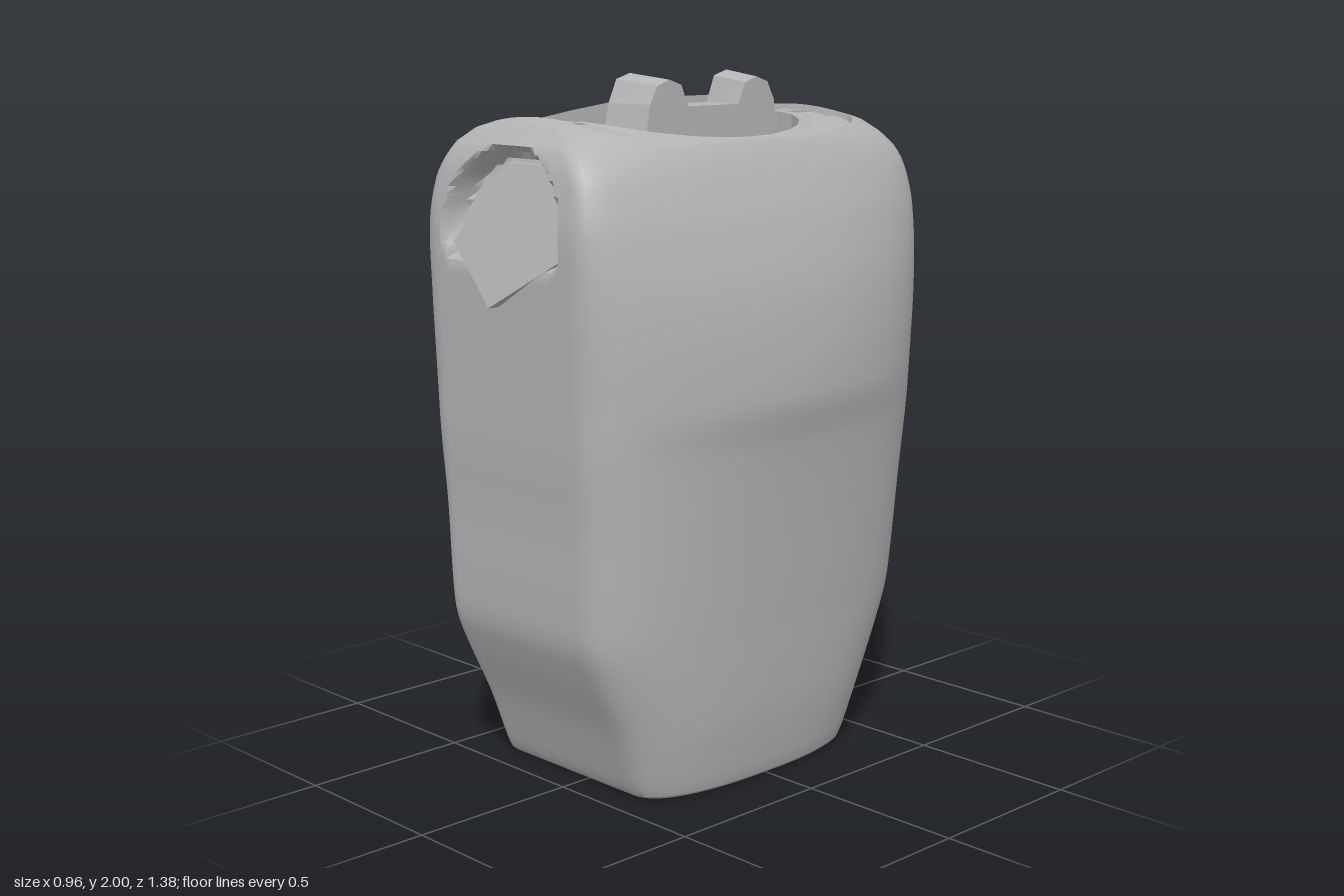
import * as THREE from 'three';
import { toCreasedNormals } from 'three/addons/utils/BufferGeometryUtils.js';

const CX = -0.06;
const NP = 30, NS = 26; // points across an end panel and around a side

// height, left x, right x, panel left x, panel right x, half depth, roundness of the right side
const SECTIONS = [
  [0.01, -0.38, 0.33, -0.325, 0.19, 0.41, 0.8],
  [0.04, -0.39, 0.34, -0.325, 0.19, 0.425, 0.8],
  [0.20, -0.405, 0.37, -0.325, 0.20, 0.485, 0.82],
  [0.36, -0.42, 0.388, -0.325, 0.20, 0.56, 0.85],
  [0.46, -0.43, 0.397, -0.325, 0.20, 0.60, 0.87],
  [0.56, -0.435, 0.407, -0.325, 0.205, 0.613, 0.88],
  [0.80, -0.45, 0.43, -0.32, 0.22, 0.625, 0.9],
  [1.00, -0.465, 0.453, -0.32, 0.235, 0.64, 0.95],
  [1.14, -0.475, 0.478, -0.32, 0.24, 0.645, 1],
  [1.40, -0.485, 0.455, -0.32, 0.25, 0.655, 0.95],
  [1.60, -0.475, 0.40, -0.32, 0.25, 0.66, 0.9],
  [1.72, -0.45, 0.35, -0.31, 0.235, 0.645, 0.87],
  [1.78, -0.43, 0.32, -0.28, 0.20, 0.63, 0.85],
  [1.82, -0.42, 0.295, -0.25, 0.15, 0.61, 0.85],
];
const RIM = [0, -0.41, 0.28, -0.2, 0.12, 0.505, 0.77];

const crown = (x) => 1.83 + 0.06 * (1 - Math.min(1, ((x + 0.065) / 0.345) ** 2));
const discPlane = (y) => 0.69 - 0.32 * (y - 1.39);

// Smooth (Hermite) section at any height
function sectionAt(y) {
  const last = SECTIONS.length - 1;
  let k = 0;
  while (k < last - 1 && SECTIONS[k + 1][0] < y) k++;
  const a = SECTIONS[k], b = SECTIONS[k + 1], h = b[0] - a[0], t = (y - a[0]) / h;
  const slope = (j, i) => {
    const p = SECTIONS[Math.max(0, j - 1)], q = SECTIONS[Math.min(last, j + 1)];
    return (q[i] - p[i]) / (q[0] - p[0]);
  };
  const s = t * t * (3 - 2 * t);
  return a.map((v, i) => v + (b[i] - v) * s
    + h * (slope(k, i) * t * (1 - t) ** 2 - slope(k + 1, i) * t * t * (1 - t)));
}

// Closed outline: flat front, curved right, flat back, curved left
function outline([, xl, xr, pl, pr, zf, round], scale = 1) {
  const pts = [];
  const side = (edge, bulge, dir, power) => {
    for (let i = 0; i < NS; i++) {
      const a = dir * (Math.PI / 2 - (Math.PI * i) / NS);
      const c = Math.abs(Math.cos(a)) ** power, s = Math.sign(Math.sin(a)) * Math.abs(Math.sin(a)) ** power;
      pts.push([edge + (bulge - edge) * c, zf * s]);
    }
  };
  for (let i = 0; i < NP; i++) pts.push([pl + ((pr - pl) * i) / NP, zf]);
  side(pr, xr, 1, round);
  for (let i = 0; i < NP; i++) pts.push([pr + ((pl - pr) * i) / NP, -zf]);
  side(pl, xl, -1, Math.min(round, 0.83));
  return pts.map(([x, z]) => [CX + (x - CX) * scale, z * scale]);
}

const inSocket = (x, y) => x > -0.09 && x < 0.12 && [0.73, 1.09].some((c) => Math.abs(y - c) < 0.105);
const recessDepth = (y) => 0.042 - 0.025 * (y - 0.52);

// Sloping-walled pockets behind the end discs, and the recessed back panel with two sockets
function carve(x, y, z, zf) {
  const r = Math.hypot(x + 0.05, y - 1.57);
  const limit = discPlane(y) - 0.02 + Math.max(0, r - 0.225) * 3 + Math.max(0, 1.52 - y);
  z = Math.max(-limit, Math.min(limit, z));
  if (z < 0 && y > 0.525 && y < 1.295 && x > -0.28) {
    z = Math.max(z, -(zf - recessDepth(y)));
    if (inSocket(x, y)) z += 0.09;
  }
  return z;
}

function bodyGeometry() {
  const base = SECTIONS[0], rows = [];
  const flatRow = (scale, y) => rows.push(outline(base, scale).map(([x, z]) => [x, y, z]));
  flatRow(0.001, 0.14);
  flatRow(0.86, 0.14);
  flatRow(0.9, 0.02);
  flatRow(0.97, 0);
  for (let i = 0; i <= 91; i++) {
    const y = 0.01 + (1.81 * i) / 91, s = sectionAt(y);
    rows.push(outline(s).map(([x, z]) => [x, y, carve(x, y, z, s[5])]));
  }
  const mid = RIM.map((v, i) => (v + SECTIONS.at(-1)[i]) / 2);
  rows.push(outline(mid).map(([x, z]) => [x, Math.max(1.828, crown(x) - 0.012), z]));
  rows.push(outline(RIM).map(([x, z]) => [x, crown(x), z]));
  rows.push(outline(RIM, 0.98).map(([x, z]) => [x, crown(x) - 0.05, z]));

  const n = rows[0].length, index = [];
  for (let j = 0; j < rows.length - 1; j++)
    for (let i = 0; i < n; i++) {
      const a = j * n + i, b = j * n + ((i + 1) % n);
      index.push(a, b, b + n, a, b + n, a + n);
    }
  const g = new THREE.BufferGeometry();
  g.setAttribute('position', new THREE.Float32BufferAttribute(rows.flat(2), 3));
  g.setIndex(index);
  return toCreasedNormals(g, 0.5);
}

const path = (pts, Type = THREE.Shape) => new Type(pts.map(([x, y]) => new THREE.Vector2(x, y)));

function moveVertices(g, rule) {
  const p = g.attributes.position;
  for (let i = 0; i < p.count; i++) p.setXYZ(i, ...rule(p.getX(i), p.getY(i), p.getZ(i)));
  g.computeVertexNormals();
  return g;
}

// Slab drawn in plan (x, z) whose top follows a height rule
function slab(pts, holes, depth, top) {
  const flip = (list) => list.map(([x, z]) => [x, -z]);
  const shape = path(flip(pts));
  shape.holes = holes.map((h) => path(flip(h), THREE.Path));
  const g = new THREE.ExtrudeGeometry(shape, { depth, bevelEnabled: false });
  g.rotateX(-Math.PI / 2);
  return moveVertices(g, (x, y, z) => [x, y - depth + top(x, z), z]);
}

export function createModel() {
  const model = new THREE.Group();
  const grey = new THREE.MeshStandardMaterial({ color: 0xb4b4b4 });
  grey.name = 'grey';
  const add = (name, geometry, x = 0, y = 0, z = 0) => {
    const m = new THREE.Mesh(geometry, grey);
    m.name = name;
    m.position.set(x, y, z);
    model.add(m);
    return m;
  };

  add('body', bodyGeometry());

  // Top deck with a half-oval well and small slots at both ends
  const well = [];
  for (let i = 0; i <= 12; i++) {
    const a = -Math.PI / 2 + (Math.PI * i) / 12;
    well.push([-0.04 + 0.28 * Math.cos(a) ** 0.8, 0.38 * Math.sin(a)]);
  }
  const slots = [1, -1].flatMap((s) => [
    [[-0.1, 0.47 * s], [-0.07, 0.41 * s], [-0.07, 0.47 * s]],
    [[0, 0.41 * s], [0.035, 0.41 * s], [0.04, 0.47 * s], [0, 0.47 * s]],
  ]);
  add('topDeck', slab(outline(RIM, 0.985), [well, ...slots], 0.06, (x) => crown(x) - 0.014));
  add('wellFloor', slab(outline(RIM, 0.96), [], 0.01, () => 1.785));

  // Sloping lid beside the handle, humped along its inner edge
  const lid = [[-0.35, 0.4], [-0.04, 0.4], [-0.04, 0.2], [-0.04, -0.2], [-0.05, -0.3], [-0.12, -0.42], [-0.35, -0.41]];
  add('slopingLid', slab(lid, [], 0.1, (x, z) =>
    1.845 + ((x + 0.35) / 0.31) * (0.085 - 0.12 * Math.max(0, Math.abs(z) - 0.2))));

  // Handle: two raised posts joined by a low bar, narrowing on the outer side
  const half = [[0.11, 1.91], [0.14, 1.985], [0.19, 2.0], [0.24, 1.985], [0.27, 1.92], [0.3, 1.78]];
  const profile = [...half.map(([z, y]) => [-z, y]).reverse(), ...half];
  const handle = new THREE.ExtrudeGeometry(path(profile), { depth: 0.14, bevelEnabled: false });
  handle.rotateY(Math.PI / 2);
  add('handle', moveVertices(handle, (x, y, z) =>
    [x - 0.04, x > 0.07 && y > 1.95 ? y - 0.015 : y, z * (x > 0.07 ? 0.9 : 1)]));

  // Tilted many-sided discs, front and back
  const disc = (name, pts, sign) => {
    const g = new THREE.ExtrudeGeometry(path(pts), { depth: 0.06, bevelEnabled: false });
    add(name, moveVertices(g, (x, y, z) => [x, y, sign > 0 ? z - 0.06 + discPlane(y) : z - discPlane(y)]));
  };
  disc('frontDisc', [[-0.06, 1.39], [0.18, 1.53], [0.16, 1.63], [0.07, 1.77], [-0.12, 1.77], [-0.27, 1.55]], 1);
  disc('backDisc', [[-0.16, 1.4], [0.05, 1.4], [0.19, 1.55], [0.1, 1.77], [-0.2, 1.77], [-0.28, 1.57]], -1);

  // Socket frames, round button and row of studs on the back panel
  const rect = (w, h, c) => [[-w + c, -h], [w - c, -h], [w, -h + c], [w, h - c], [w - c, h], [-w + c, h], [-w, h - c], [-w, -h + c]];
  const frame = path(rect(0.125, 0.125, 0.03));
  frame.holes = [path(rect(0.09, 0.09, 0.02), THREE.Path)];
  const frameGeometry = new THREE.ExtrudeGeometry(frame, { depth: 0.05, bevelEnabled: false });
  const panelZ = (y) => -(sectionAt(y)[5] - recessDepth(y));
  for (const y of [0.73, 1.09]) add('socketFrame', frameGeometry, 0.015, y, panelZ(y) - 0.01);
  const ring = add('buttonRing', new THREE.TorusGeometry(0.065, 0.012, 6, 20), -0.18, 0.91, panelZ(0.91));
  ring.scale.x = 1.2;
  add('button', new THREE.CylinderGeometry(0.04, 0.04, 0.02, 16).rotateX(Math.PI / 2), -0.18, 0.91, panelZ(0.91));
  for (let i = 0; i < 4; i++)
    add('stud', new THREE.CylinderGeometry(0.01, 0.01, 0.01, 8).rotateX(Math.PI / 2), 0.09 - i * 0.05, 0.91, panelZ(0.91));

  // Ribs and boss inside the hollow base
  add('baseBoss', new THREE.CylinderGeometry(0.12, 0.09, 0.1, 8), CX, 0.1, 0);
  for (const s of [1, -1]) add('baseRib', new THREE.BoxGeometry(0.4, 0.08, 0.03), CX, 0.11, 0.2 * s);
  return model;
}
